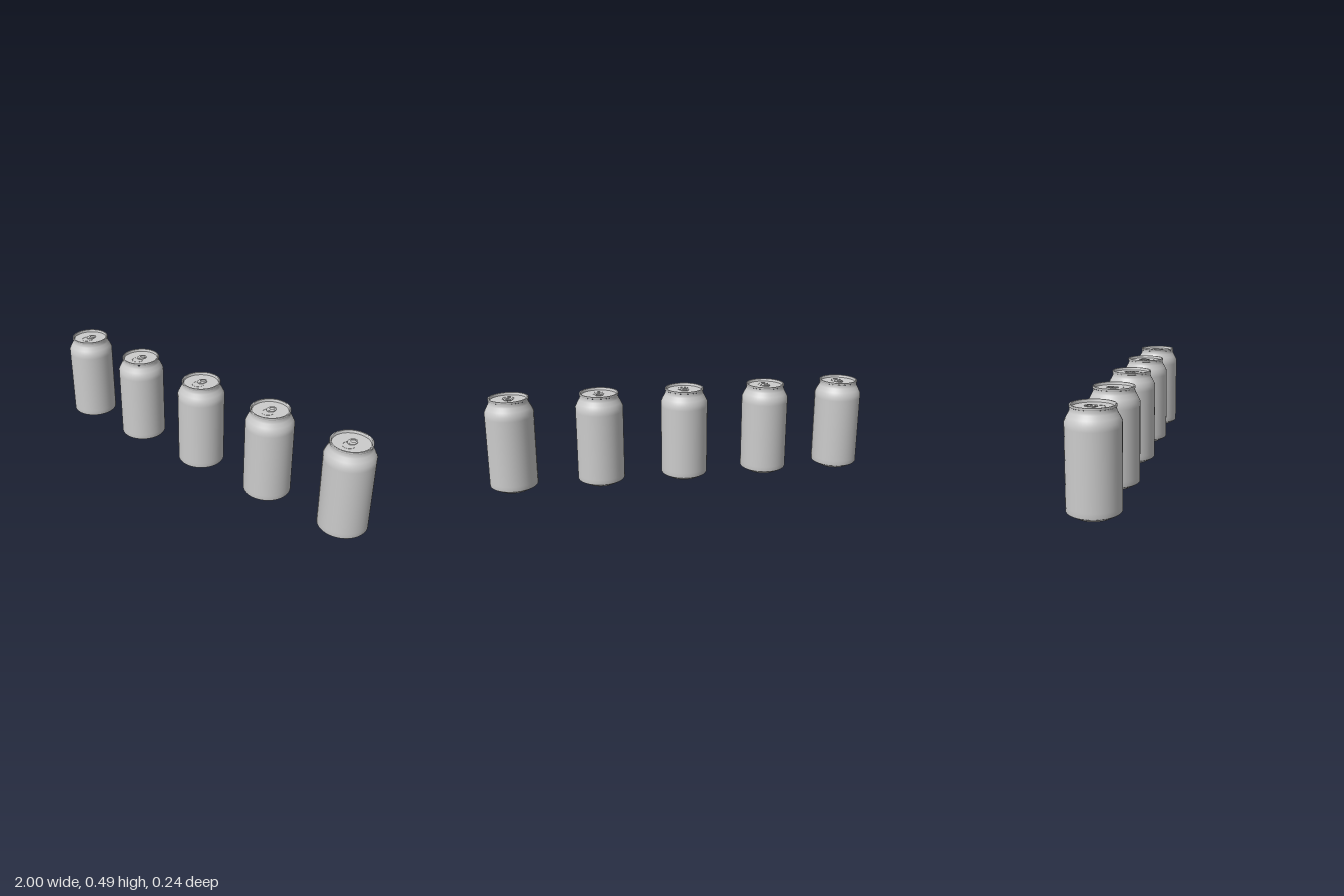
import * as THREE from 'three';

const aluminium = new THREE.MeshStandardMaterial({ color: 0xcccccc });
aluminium.name = 'aluminium';

const SEGMENTS = 48;
const LID_Y = 0.472;

// Spins a list of [radius, height] pairs around the can's axis
function lathe(points) {
  return new THREE.LatheGeometry(points.map(([r, y]) => new THREE.Vector2(r, y)), SEGMENTS);
}

// Flat rounded shape lying on the lid
function plate(shape, depth, y) {
  const g = new THREE.ExtrudeGeometry(shape, { depth, bevelEnabled: false, curveSegments: 16 });
  return g.rotateX(-Math.PI / 2).translate(0, y, 0);
}

function ellipse(Type, z, rx, rz) {
  const s = new Type();
  s.absellipse(0, -z, rx, rz, 0, Math.PI * 2, false, 0);
  return s;
}

// Pull ring: an oval with a finger hole
const ring = ellipse(THREE.Shape, -0.008, 0.022, 0.029);
ring.holes.push(ellipse(THREE.Path, -0.016, 0.013, 0.013));

// Raised score line around the mouth
const score = ellipse(THREE.Shape, 0.022, 0.03, 0.032);
score.holes.push(ellipse(THREE.Path, 0.022, 0.028, 0.03));

const parts = {
  domedBase: lathe([[0, 0.028], [0.03, 0.025], [0.055, 0.016], [0.07, 0.004], [0.074, 0]]),
  body: lathe([
    [0.074, 0], [0.08, 0.0], [0.1, 0.011], [0.119, 0.022], [0.122, 0.026], [0.122, 0.05],
    [0.122, 0.39], [0.122, 0.413], [0.112, 0.434], [0.101, 0.454], [0.098, 0.464], [0.098, 0.474],
  ]),
  rim: lathe([[0.097, 0.474], [0.1, 0.475], [0.1, 0.483], [0.098, 0.485], [0.094, 0.485], [0.092, 0.483], [0.09, LID_Y]]),
  lid: lathe([[0.0905, LID_Y], [0, LID_Y]]),
  mouthScore: plate(score, 0.001, LID_Y),
  pullRing: plate(ring, 0.003, LID_Y + 0.002),
  rivet: new THREE.CylinderGeometry(0.005, 0.006, 0.006, 16).translate(0, LID_Y + 0.003, 0.01),
};

function createCan() {
  const can = new THREE.Group();
  for (const [name, geometry] of Object.entries(parts)) {
    const mesh = new THREE.Mesh(geometry, aluminium);
    mesh.name = name;
    can.add(mesh);
  }
  return can;
}

export function createModel() {
  const model = new THREE.Group();
  model.name = 'rowOfCans';
  // Five cans side by side
  [-0.878, -0.461, -0.019, 0.427, 0.878].forEach((x, i) => {
    const can = createCan();
    can.name = `can${i + 1}`;
    can.position.x = x;
    model.add(can);
  });
  return model;
}
